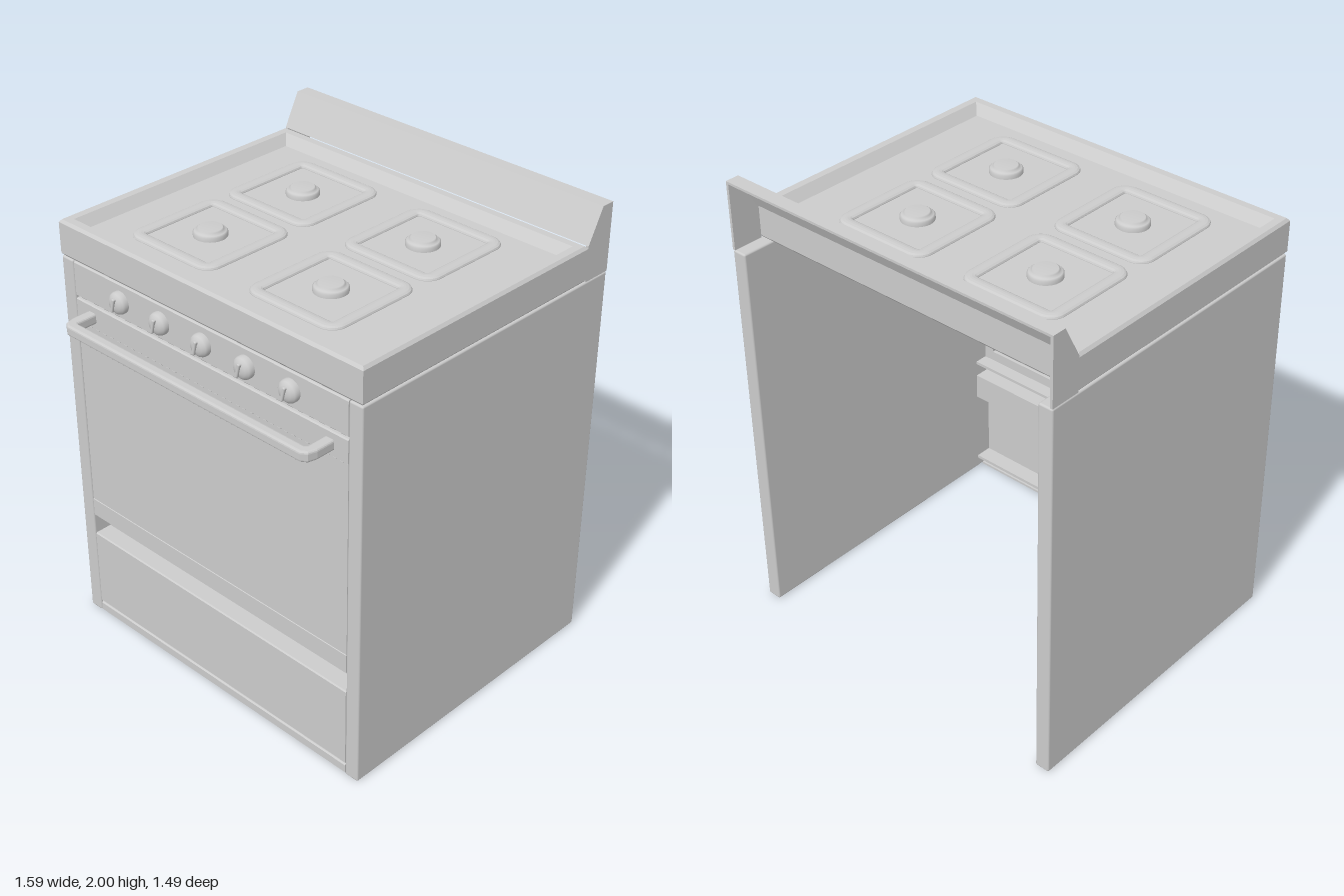
import * as THREE from 'three';
import { RoundedBoxGeometry } from 'three/addons/geometries/RoundedBoxGeometry.js';

const material = new THREE.MeshStandardMaterial({ color: 0xcccccc, side: THREE.DoubleSide });
const FRONT = 0.61;

function add(parent, name, geometry, x = 0, y = 0, z = 0) {
  const mesh = new THREE.Mesh(geometry, material);
  mesh.name = name;
  mesh.position.set(x, y, z);
  parent.add(mesh);
  return mesh;
}

const outline = (pts) => new THREE.Shape(pts.map(([a, b]) => new THREE.Vector2(a, b)));

// Side profile of [z, y] points, extruded across x and centred
function acrossX(pts, width) {
  const g = new THREE.ExtrudeGeometry(outline(pts), { depth: width, bevelEnabled: false });
  g.rotateY(-Math.PI / 2);
  g.translate(width / 2, 0, 0);
  return g;
}

// Front sheet with flanges folded back along its top and bottom edges
function tray(y0, y1, depth, t = 0.014) {
  const b = FRONT - depth, e = 0.005;
  return acrossX([
    [b, y0], [FRONT - e, y0], [FRONT, y0 + e], [FRONT, y1 - e], [FRONT - e, y1], [b, y1],
    [b, y1 - t], [FRONT - t, y1 - t], [FRONT - t, y0 + t], [b, y0 + t],
  ], 1.454);
}

function roundedSquare(size, r, target = new THREE.Shape()) {
  const h = size / 2, q = Math.PI / 2;
  target.absarc(h - r, h - r, r, 0, q);
  target.absarc(-h + r, h - r, r, q, 2 * q);
  target.absarc(-h + r, -h + r, r, 2 * q, 3 * q);
  target.absarc(h - r, -h + r, r, 3 * q, 4 * q);
  target.closePath();
  return target;
}

// Worktop slab lofted through rectangular loops of [inset, height]
function worktopGeometry() {
  const loops = [[0.008, 1.71], [0, 1.72], [0, 1.85], [0.01, 1.862], [0.042, 1.862], [0.077, 1.822]];
  const pos = [], index = [];
  for (const [i, y] of loops) {
    const x = 0.795 - i, f = 0.614 - i, b = -0.612 + i;
    pos.push(-x, y, f, x, y, f, x, y, b, -x, y, b);
  }
  for (let l = 0; l < loops.length - 1; l++) {
    for (let k = 0; k < 4; k++) {
      const a = l * 4 + k, b = l * 4 + (k + 1) % 4;
      index.push(a, b, b + 4, a, b + 4, a + 4);
    }
  }
  const n = (loops.length - 1) * 4;
  index.push(n, n + 1, n + 2, n, n + 2, n + 3, 0, 2, 1, 0, 3, 2);
  const g = new THREE.BufferGeometry();
  g.setAttribute('position', new THREE.Float32BufferAttribute(pos, 3));
  g.setIndex(index);
  const flat = g.toNonIndexed();
  flat.computeVertexNormals();
  return flat;
}

function lathe(pts, segments = 32) {
  return new THREE.LatheGeometry(pts.map(([r, y]) => new THREE.Vector2(r, y)), segments);
}

function makeBurner(x, z) {
  const burner = new THREE.Group();
  burner.name = 'burner';
  burner.position.set(x, 1.82, z);
  // Raised rounded rim around a square well
  const rim = roundedSquare(0.41, 0.045);
  rim.holes.push(roundedSquare(0.39, 0.03, new THREE.Path()));
  const rimGeo = new THREE.ExtrudeGeometry(rim, {
    depth: 0.004, bevelThickness: 0.012, bevelSize: 0.022, bevelSegments: 3, curveSegments: 6,
  });
  rimGeo.rotateX(-Math.PI / 2);
  add(burner, 'burnerRim', rimGeo);
  add(burner, 'burnerCap', lathe([
    [0.068, 0], [0.068, 0.018], [0.062, 0.024], [0.054, 0.024],
    [0.052, 0.032], [0.047, 0.036], [0, 0.036],
  ]));
  return burner;
}

function makeKnob(x) {
  const knob = new THREE.Group();
  knob.name = 'knob';
  knob.position.set(x, 1.63, FRONT);
  const body = lathe([[0.046, 0], [0.046, 0.014], [0.042, 0.024], [0.03, 0.034], [0.014, 0.038], [0, 0.038]]);
  body.rotateX(Math.PI / 2);
  add(knob, 'knobBody', body);
  const grip = add(knob, 'knobGrip', new RoundedBoxGeometry(0.014, 0.062, 0.03, 2, 0.005), 0, 0, 0.032);
  grip.rotation.z = -0.25;
  return knob;
}

export function createModel() {
  const model = new THREE.Group();
  model.name = 'cooker';

  // Side walls
  for (const s of [-1, 1]) {
    add(model, 'sidePanel', new RoundedBoxGeometry(0.065, 1.708, 1.358, 2, 0.008), s * 0.7625, 0.854, -0.066);
  }

  // Worktop and burners
  add(model, 'worktop', worktopGeometry());
  for (const x of [-0.341, 0.294]) for (const z of [-0.254, 0.246]) model.add(makeBurner(x, z));

  // Backsplash: folded sheet, open behind, with end caps
  add(model, 'backsplashSheet', acrossX([
    [-0.745, 2], [-0.685, 2], [-0.612, 1.86], [-0.622, 1.855], [-0.692, 1.99], [-0.745, 1.99],
  ], 1.59));
  for (const s of [-1, 1]) {
    add(model, 'backsplashCap', acrossX([
      [-0.745, 1.71], [-0.612, 1.71], [-0.612, 1.86], [-0.685, 2], [-0.745, 2],
    ], 0.012), s * 0.789);
  }

  // Control panel and knobs
  add(model, 'controlPanel', tray(1.555, 1.705, 0.08));
  for (let i = -2; i <= 2; i++) model.add(makeKnob(i * 0.227 - 0.002));

  // Oven door
  add(model, 'doorTopRail', tray(1.44, 1.546, 0.08));
  add(model, 'doorBottomRail', tray(0.505, 0.595, 0.09));
  add(model, 'doorPanel', new THREE.BoxGeometry(1.454, 0.85, 0.014), 0, 1.0175, FRONT - 0.009);
  const frame = outline([[-0.727, 0.595], [0.727, 0.595], [0.727, 1.44], [-0.727, 1.44]]);
  frame.holes.push(new THREE.Path(
    [[-0.68, 0.64], [-0.68, 1.395], [0.68, 1.395], [0.68, 0.64]].map(([x, y]) => new THREE.Vector2(x, y))));
  add(model, 'doorInnerFrame', new THREE.ExtrudeGeometry(frame, { depth: 0.016, bevelEnabled: false }), 0, 0, FRONT - 0.03);

  // Door handle: flat U-shaped bar
  const half = [[0.65, 0.605], [0.65, 0.69], [0.641, 0.722], [0.622, 0.735]];
  const inner = [[0.61, 0.712], [0.625, 0.7], [0.625, 0.605]];
  const mirror = (pts) => pts.map(([x, z]) => [-x, z]).reverse();
  const handleGeo = new THREE.ExtrudeGeometry(
    outline([...half, ...mirror(half), ...mirror(inner), ...inner]),
    { depth: 0.025, bevelThickness: 0.01, bevelSize: 0.01, bevelSegments: 3 });
  handleGeo.rotateX(Math.PI / 2);
  add(model, 'doorHandle', handleGeo, 0, 1.505, 0);

  // Drawer, the recess above it and the base strip
  add(model, 'drawer', tray(0.05, 0.415, 0.09));
  add(model, 'drawerRecess', new THREE.BoxGeometry(1.454, 0.118, 0.012), 0, 0.46, FRONT - 0.084);
  add(model, 'baseStrip', tray(0, 0.045, 0.06, 0.01));

  return model;
}
